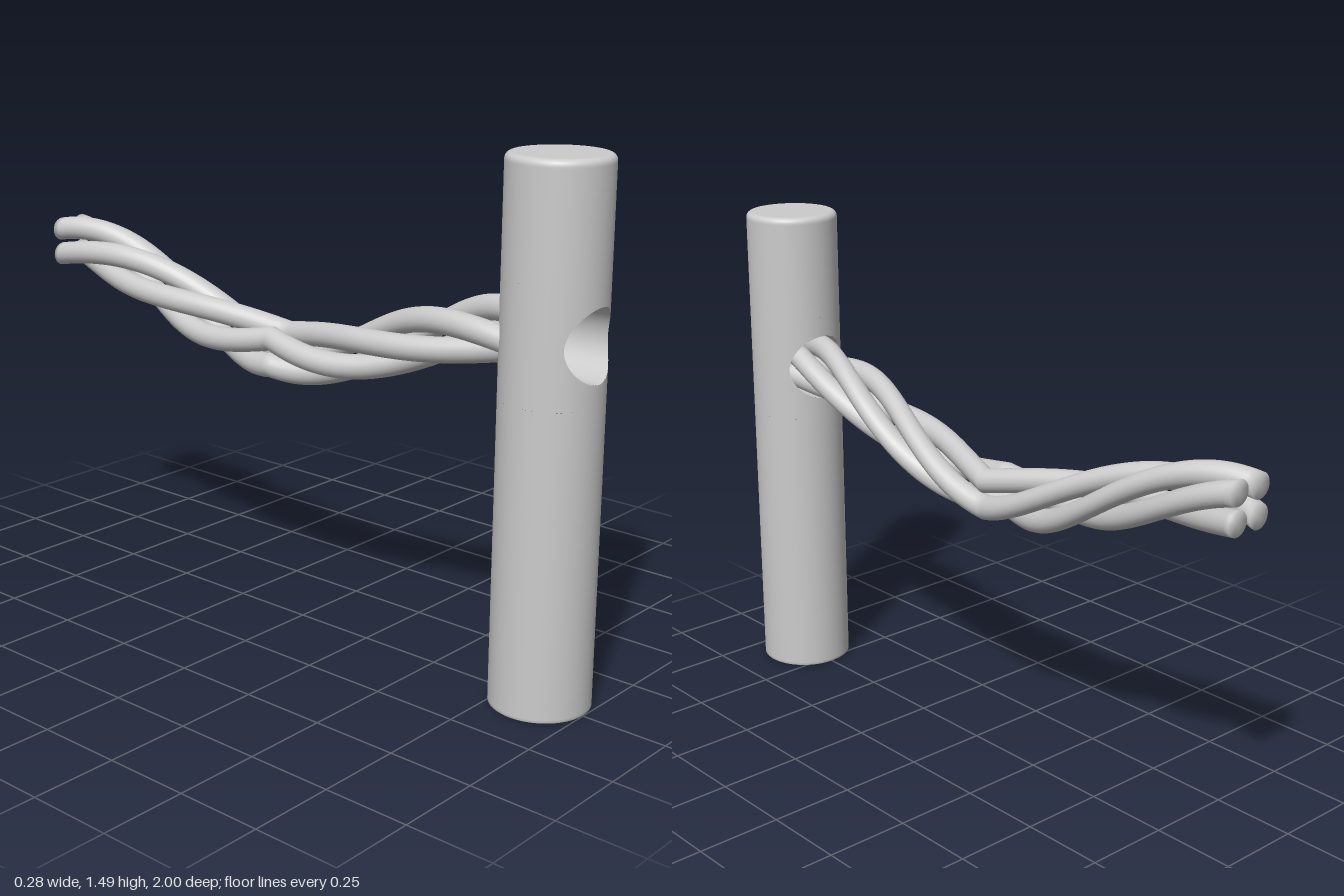
import * as THREE from 'three';
import { ParametricGeometry } from 'three/addons/geometries/ParametricGeometry.js';
import { mergeVertices } from 'three/addons/utils/BufferGeometryUtils.js';

const material = new THREE.MeshStandardMaterial({ color: 0xcccccc });

const R = 0.14, HEIGHT = 1.49, POST_Z = 0.86;   // post
const HOLE_R = 0.1, HOLE_Y = 1.015, BAND = 0.16; // through hole and the band around it
const MID_Z = -0.085, HALF = 0.915;              // rope span
const STRAND_R = 0.036, TWIST_R = 0.057;

function part(name, geometry, parent) {
  const mesh = new THREE.Mesh(geometry, material);
  mesh.name = name;
  parent.add(mesh);
  return mesh;
}

const lathe = (pts) => new THREE.LatheGeometry(pts.map(([x, y]) => new THREE.Vector2(x, y)), 64);

// Half of the post's wall, spreading from the hole's edge to a square band
function holedWall() {
  return new ParametricGeometry((u, v, p) => {
    const a = -u * Math.PI * 2, c = Math.cos(a), s = Math.sin(a);
    const m = Math.max(Math.abs(c), Math.abs(s));
    const phi = THREE.MathUtils.lerp(Math.asin(HOLE_R * c / R), c / m * Math.PI / 2, v);
    const y = THREE.MathUtils.lerp(HOLE_R * s, s / m * BAND, v);
    p.set(R * Math.sin(phi), HOLE_Y + y, R * Math.cos(phi));
  }, 128, 16);
}

// Lining of the hole from the front edge to the back edge
function tunnel() {
  return new ParametricGeometry((u, v, p) => {
    const a = u * Math.PI * 2, x = HOLE_R * Math.cos(a);
    p.set(x, HOLE_Y + HOLE_R * Math.sin(a), Math.sqrt(R * R - x * x) * (1 - 2 * v));
  }, 64, 4);
}

// One strand: a rod along z, sagging in the middle, its twist reversing there
function strand(startAngle) {
  const rod = new THREE.CylinderGeometry(STRAND_R, STRAND_R, HALF * 2, 24, 96);
  rod.rotateX(Math.PI / 2).translate(0, 0, MID_Z);
  rod.deleteAttribute('uv');
  rod.deleteAttribute('normal');
  const g = mergeVertices(rod);
  const pos = g.attributes.position;
  for (let i = 0; i < pos.count; i++) {
    const s = 1 - Math.abs(pos.getZ(i) - MID_Z) / HALF;
    const a = startAngle - s * Math.PI * 1.5;
    const sag = 0.919 + 0.103 * Math.cos(s * Math.PI);
    pos.setX(i, pos.getX(i) + TWIST_R * Math.cos(a));
    pos.setY(i, pos.getY(i) + TWIST_R * Math.sin(a) + sag);
  }
  g.computeVertexNormals();
  return g;
}

export function createModel() {
  const model = new THREE.Group();
  model.name = 'postWithRope';

  // Post
  const post = new THREE.Group();
  post.name = 'post';
  post.position.z = POST_Z;
  model.add(post);
  part('postLower', lathe([[0, 0], [R - 0.003, 0], [R, 0.002], [R, 0.01], [R, HOLE_Y - BAND]]), post);
  const bevel = 0.018, top = [[R, HOLE_Y + BAND], [R, HEIGHT - bevel - 0.004]];
  for (let i = 0; i <= 6; i++) {
    const a = i / 6 * Math.PI / 2;
    top.push([R - bevel + bevel * Math.cos(a), HEIGHT - bevel + bevel * Math.sin(a)]);
  }
  top.push([R - bevel - 0.004, HEIGHT], [0, HEIGHT]);
  part('postUpper', lathe(top), post);
  part('postWallFront', holedWall(), post);
  part('postWallBack', holedWall(), post).rotation.y = Math.PI;
  part('holeLining', tunnel(), post);

  // Rope of four strands
  const rope = new THREE.Group();
  rope.name = 'rope';
  model.add(rope);
  for (let i = 0; i < 4; i++) part('strand' + (i + 1), strand(Math.PI / 4 + i * Math.PI / 2), rope);

  return model;
}
